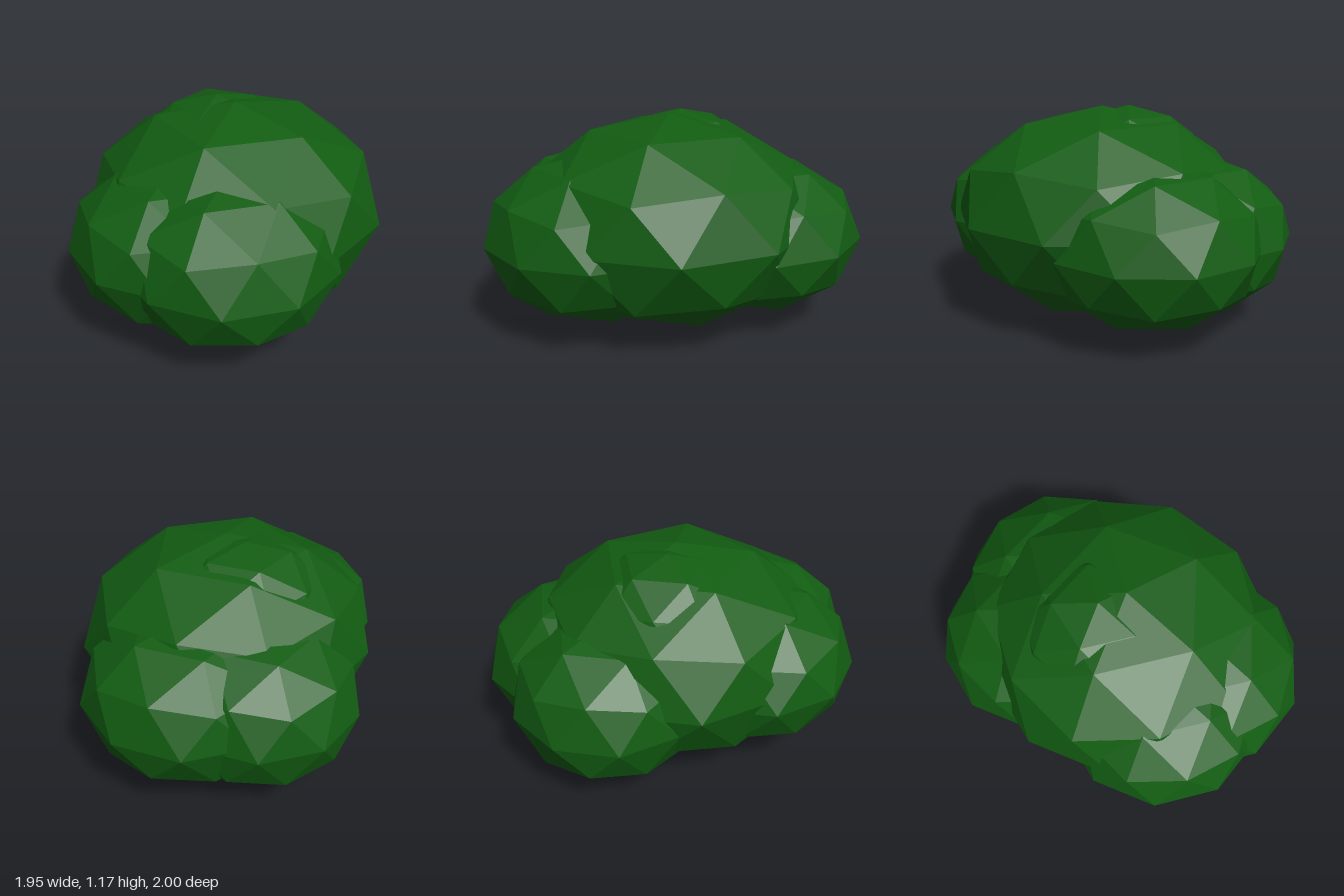
import * as THREE from 'three';

// Low-poly bush: overlapping squashed icospheres, each standing on a vertex
export function createModel() {
  const bush = new THREE.Group();
  bush.name = 'bush';
  const leaf = new THREE.MeshStandardMaterial({ color: 0x125c12, flatShading: true });

  const ball = new THREE.IcosahedronGeometry(1, 1);
  // Turn one vertex to the pole and one of its neighbours towards +x
  ball.rotateZ(-Math.atan(2 / (1 + Math.sqrt(5))));

  // name, centre x y z, horizontal radius, vertical radius
  const clumps = [
    ['mainClump', 0, 0.588, 0.05, 0.825, 0.585],
    ['frontClump', -0.27, 0.525, 0.4, 0.597, 0.455],
    ['leftClump', 0.41, 0.495, -0.22, 0.59, 0.435],
    ['backClump', 0.14, 0.48, -0.46, 0.54, 0.44],
    ['rightClump', -0.43, 0.53, 0.145, 0.575, 0.43],
    ['topClump', -0.02, 0.81, -0.1, 0.46, 0.365],
  ];
  for (const [name, x, y, z, r, h] of clumps) {
    const clump = new THREE.Mesh(ball, leaf);
    clump.name = name;
    clump.position.set(x, y, z);
    clump.scale.set(r, h, r);
    bush.add(clump);
  }
  return bush;
}
